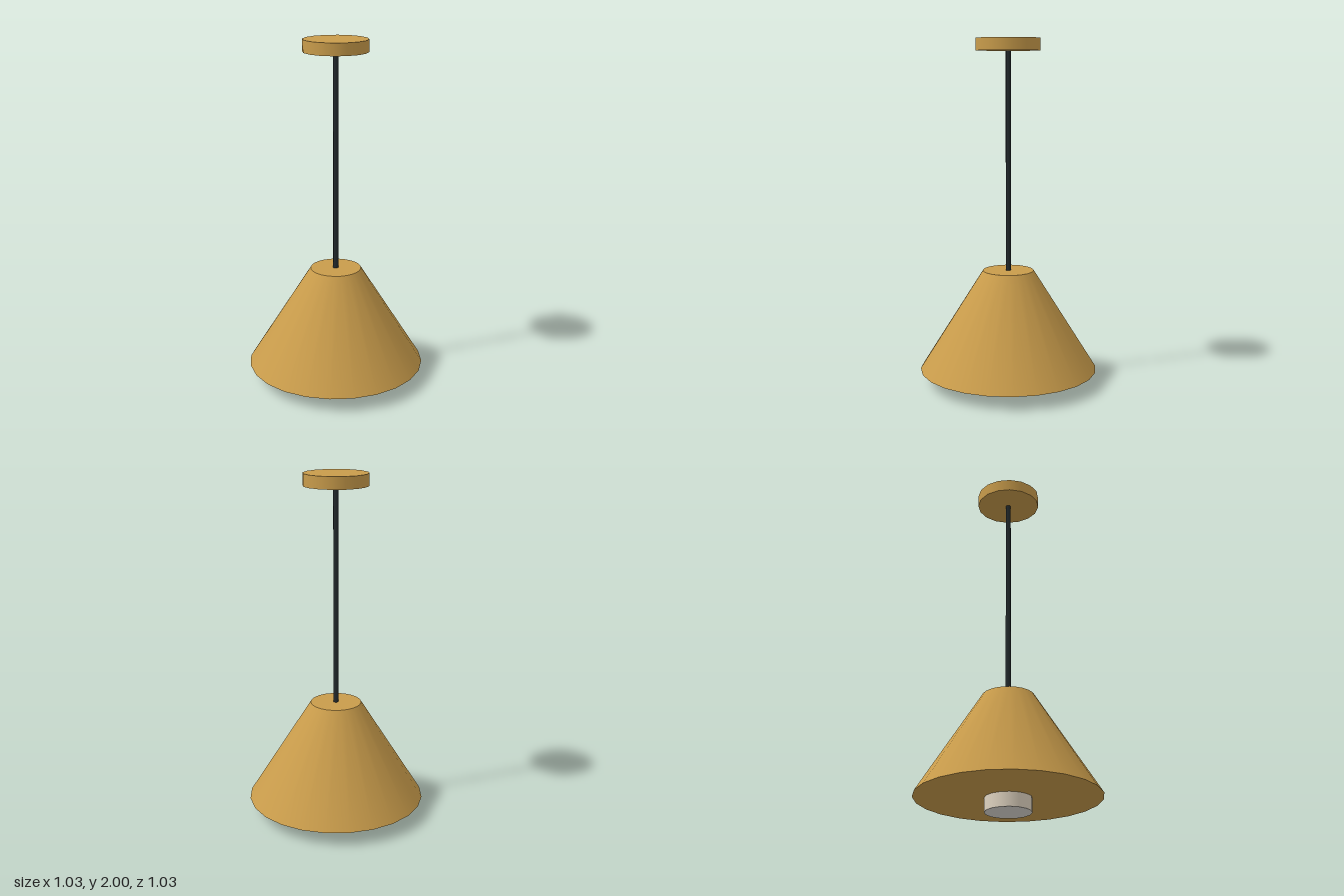
import * as THREE from 'three';

function material(name, color) {
  const m = new THREE.MeshStandardMaterial({ color });
  m.name = name;
  return m;
}

export function createModel() {
  const brass = material('brass', 0xc99c4b);
  const black = material('black cord', 0x22292c);
  const cream = material('cream', 0xdfd3c0);
  const white = material('soft white', 0xdcd9d3);

  const model = new THREE.Group();
  model.name = 'pendantLamp';

  // Closed, smooth-sided round part between two heights
  function round(name, rTop, rBottom, y0, y1, sides, mat) {
    const mesh = new THREE.Mesh(new THREE.CylinderGeometry(rTop, rBottom, y1 - y0, sides), mat);
    mesh.position.y = (y0 + y1) / 2;
    mesh.name = name;
    model.add(mesh);
  }

  round('ceilingCanopy', 0.185, 0.185, 1.93, 2, 16, brass);
  round('cord', 0.015, 0.015, 0.6, 1.94, 8, black);
  round('shade', 0.148, 0.517, 0.08, 0.667, 24, brass);
  // Diffuser: cream side, soft white end faces
  round('diffuser', 0.13, 0.13, 0, 0.14, 16, [cream, white, white]);

  return model;
}
